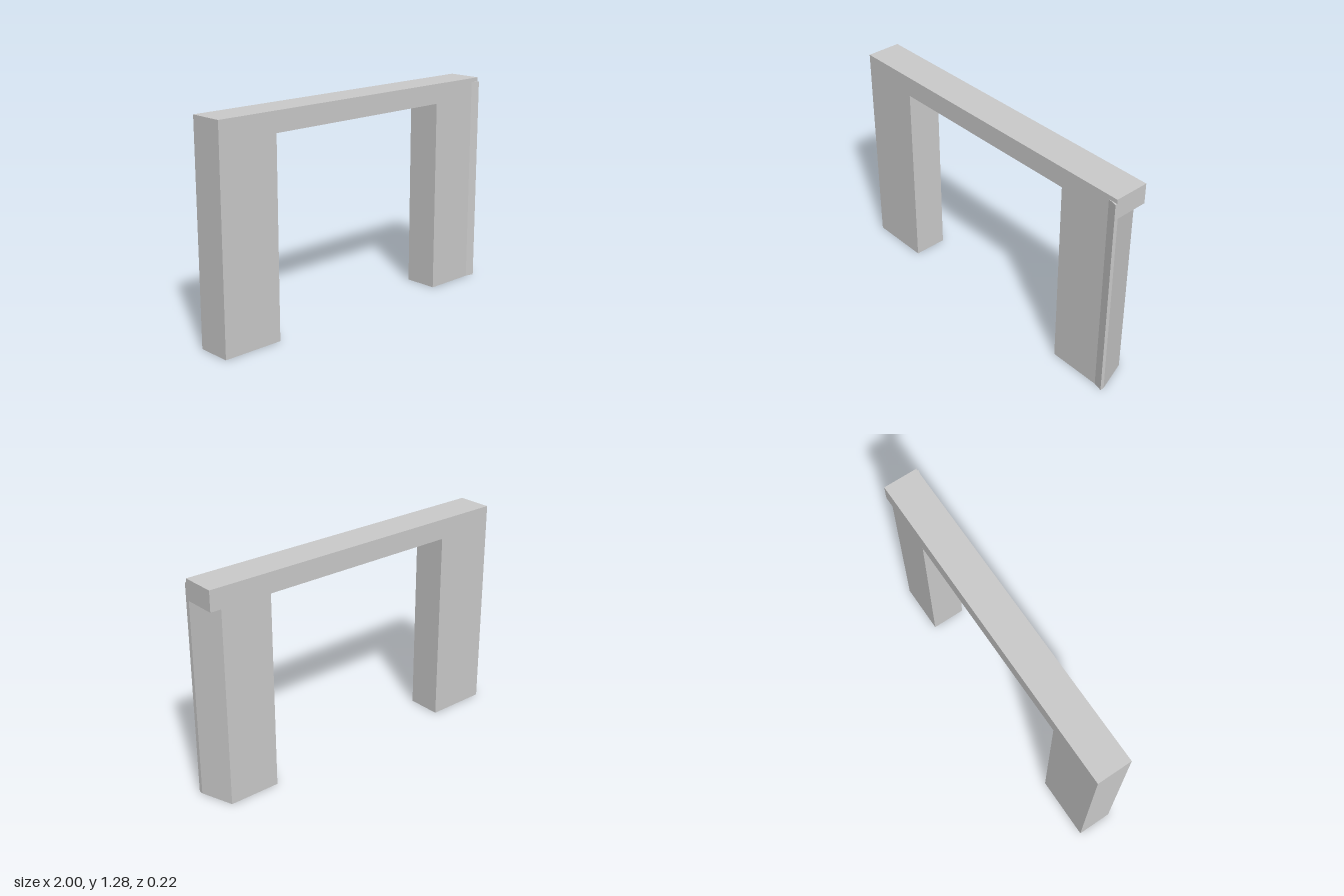
import * as THREE from 'three';

const BACK = -0.11, FRONT = 0.098, FLARE = 0.11;
const INNER = 0.625, SOFFIT = 1.165, TOP = 1.285;

const material = new THREE.MeshStandardMaterial({ color: 0xcccccc, flatShading: true });

function extrude(points, depth) {
  const shape = new THREE.Shape(points.map(([a, b]) => new THREE.Vector2(a, b)));
  return new THREE.ExtrudeGeometry(shape, { depth, bevelEnabled: false });
}

// Vertical prism from an [x, z] footprint, between two heights
function prism(footprint, bottom, top) {
  const geometry = extrude(footprint.map(([x, z]) => [x, -z]), top - bottom);
  geometry.rotateX(-Math.PI / 2);
  geometry.translate(0, bottom, 0);
  return geometry;
}

export function createModel() {
  const group = new THREE.Group();
  group.name = 'doorFrame';
  const add = (name, geometry) => {
    const mesh = new THREE.Mesh(geometry, material);
    mesh.name = name;
    group.add(mesh);
  };

  // Plain post and the lintel in one piece
  const portal = extrude([
    [-1, 0], [-INNER, 0], [-INNER, SOFFIT], [1, SOFFIT], [1, TOP], [-1, TOP],
  ], FRONT - BACK);
  portal.translate(0, 0, BACK);
  add('lintelAndRightPost', portal);

  // Opposite post: outer side slants inward to the back, front corner flares out
  add('leftPost', prism([
    [INNER, FRONT], [0.945, FRONT], [1, FLARE], [1, 0.085], [0.935, BACK], [INNER, BACK],
  ], 0, SOFFIT));

  // Flared corner running up the face of the lintel
  add('cornerFlare', prism([[0.945, FRONT], [1, FLARE], [1, FRONT]], SOFFIT, 1.26));

  return group;
}
